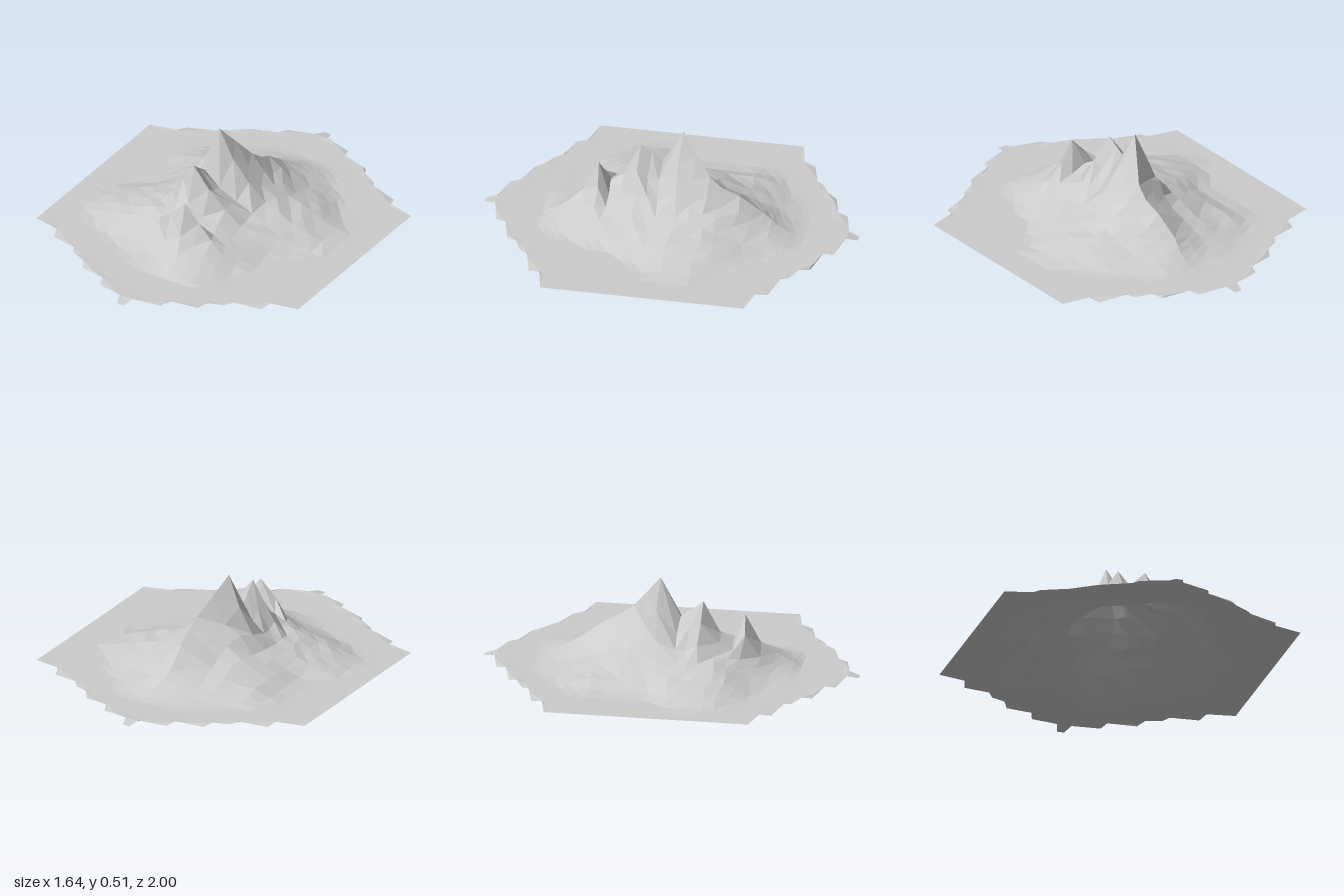
import * as THREE from 'three';

const BASE = 0.012;

// Cross-sections from back to front:
// z, ridge x, ridge y, left shoulder x, y, left foot x, right shoulder x, y, right foot x
const SECTIONS = [
  [-0.70, 0.06, BASE, -0.10, BASE, -0.25, 0.20, BASE, 0.28],
  [-0.60, 0.06, 0.05, -0.08, 0.035, -0.32, 0.18, 0.04, 0.30],
  [-0.50, 0.03, 0.115, -0.13, 0.06, -0.48, 0.18, 0.065, 0.38],
  [-0.37, 0.04, 0.21, -0.18, 0.095, -0.52, 0.21, 0.10, 0.50],
  [-0.28, 0.05, 0.255, -0.21, 0.115, -0.52, 0.23, 0.12, 0.58],
  [-0.21, 0.04, 0.31, -0.23, 0.13, -0.52, 0.23, 0.135, 0.62],
  [-0.05, -0.06, 0.515, -0.24, 0.145, -0.52, 0.21, 0.15, 0.62],
  [0.06, -0.08, 0.31, -0.26, 0.135, -0.64, 0.22, 0.125, 0.56],
  [0.18, -0.07, 0.40, -0.27, 0.13, -0.68, 0.20, 0.125, 0.46],
  [0.27, -0.05, 0.22, -0.27, 0.125, -0.68, 0.19, 0.125, 0.40],
  [0.335, -0.03, 0.18, -0.25, 0.11, -0.66, 0.18, 0.12, 0.38],
  [0.39, 0.01, 0.31, -0.20, 0.09, -0.60, 0.18, 0.115, 0.36],
  [0.47, 0.03, 0.15, -0.13, 0.07, -0.42, 0.18, 0.085, 0.33],
  [0.56, 0.07, 0.075, -0.06, 0.04, -0.25, 0.18, 0.05, 0.30],
  [0.68, 0.07, BASE, -0.05, BASE, -0.20, 0.18, BASE, 0.28],
];

// Stepped outline of the sheet: z, half width, rim height
const OUTLINE = [
  [0.545, 0.82, 0.012], [0.58, 0.67, 0.015], [0.64, 0.65, 0.003],
  [0.68, 0.50, 0.015], [0.72, 0.47, 0.008], [0.76, 0.39, 0.015],
  [0.81, 0.36, 0.002], [0.85, 0.21, 0.015], [0.905, 0.19, 0.006],
  [0.94, 0.04, 0.015], [1.0, 0.02, 0],
];

// Section at any z, blended from its neighbours
function sectionAt(z) {
  const last = SECTIONS.length - 1;
  if (z <= SECTIONS[0][0]) return SECTIONS[0];
  if (z >= SECTIONS[last][0]) return SECTIONS[last];
  const i = SECTIONS.findIndex((s) => s[0] >= z);
  const a = SECTIONS[i - 1], b = SECTIONS[i];
  const t = (z - a[0]) / (b[0] - a[0]);
  return a.map((v, k) => v + (b[k] - v) * t);
}

// Height across a section: steep concave flank, then a gentle foot slope
function heightAt(x, z, s) {
  const left = x < s[1];
  const [mx, my, fx] = left ? [s[3], s[4], s[5]] : [s[6], s[7], s[8]];
  const toShoulder = (x - s[1]) / (mx - s[1]);
  let y;
  if (toShoulder <= 1) {
    const t = Math.max(0, toShoulder);
    y = s[2] + (my - s[2]) * Math.pow(t, 0.8);
  } else {
    const t = Math.min(1, (x - mx) / (fx - mx));
    y = my + (BASE - my) * t;
  }
  // small knoll behind on one side, and slight roughness on the slopes
  const d = ((x + 0.41) ** 2 + (z + 0.39) ** 2) / 0.008;
  y += 0.02 * Math.exp(-d);
  if (toShoulder > 0.3) y += (y - BASE) * 0.09 * Math.sin(x * 31 + z * 17) * Math.cos(z * 23);
  return y;
}

function terrainGeometry() {
  // rows: the outline steps at both ends, the sections in between
  const rows = [];
  for (const [z, w, rim] of OUTLINE) rows.push([z, w, rim], [-z, w, rim]);
  for (const s of SECTIONS) if (Math.abs(s[0]) < 0.52) rows.push([s[0], 0.82, BASE]);
  rows.push([-0.13, 0.82, BASE], [0.12, 0.82, BASE], [-0.44, 0.82, BASE]);
  rows.sort((a, b) => a[0] - b[0]);

  const cols = 20, positions = [], indices = [];
  for (const [z, w, rim] of rows) {
    const s = sectionAt(z);
    for (let i = 0; i <= cols; i++) {
      const u = (i / cols * 2 - 1) * 0.82;
      // the middle column follows the ridge
      let x = u + s[1] * Math.max(0, 1 - Math.abs(u) / 0.45);
      const onRim = Math.abs(x) >= w - 1e-6 || i === 0 || i === cols;
      x = THREE.MathUtils.clamp(x, -w, w);
      const y = onRim ? rim : heightAt(x, z, s);
      // slight bend of the rows away from the ridge
      const bend = !onRim && Math.abs(z) < 0.5 && Math.abs(u) > 0.05 && Math.abs(u) < 0.6
        ? 0.012 * Math.sin(u * 19 + z * 7) : 0;
      positions.push(x, y, z + bend);
    }
  }
  const point = (i) => new THREE.Vector3().fromArray(positions, i * 3);
  const addFace = (a, b, c) => {
    const area = new THREE.Triangle(point(a), point(b), point(c)).getArea();
    if (area > 1e-7) indices.push(a, b, c);
  };
  for (let r = 0; r < rows.length - 1; r++) {
    for (let i = 0; i < cols; i++) {
      const a = r * (cols + 1) + i, b = a + cols + 1;
      // diagonals mirror about the middle so the rim steps match
      if ((i < cols / 2) === (rows[r][0] < 0)) {
        addFace(a, b, a + 1);
        addFace(a + 1, b, b + 1);
      } else {
        addFace(a, b, b + 1);
        addFace(a, b + 1, a + 1);
      }
    }
  }
  const geometry = new THREE.BufferGeometry();
  geometry.setAttribute('position', new THREE.Float32BufferAttribute(positions, 3));
  geometry.setIndex(indices);
  const flat = geometry.toNonIndexed();
  flat.computeVertexNormals();
  return flat;
}

export function createModel() {
  const group = new THREE.Group();
  group.name = 'mountain';
  const material = new THREE.MeshStandardMaterial({
    color: 0xcccccc, flatShading: true, side: THREE.DoubleSide,
  });
  const terrain = new THREE.Mesh(terrainGeometry(), material);
  terrain.name = 'mountainTerrain';
  group.add(terrain);
  return group;
}
